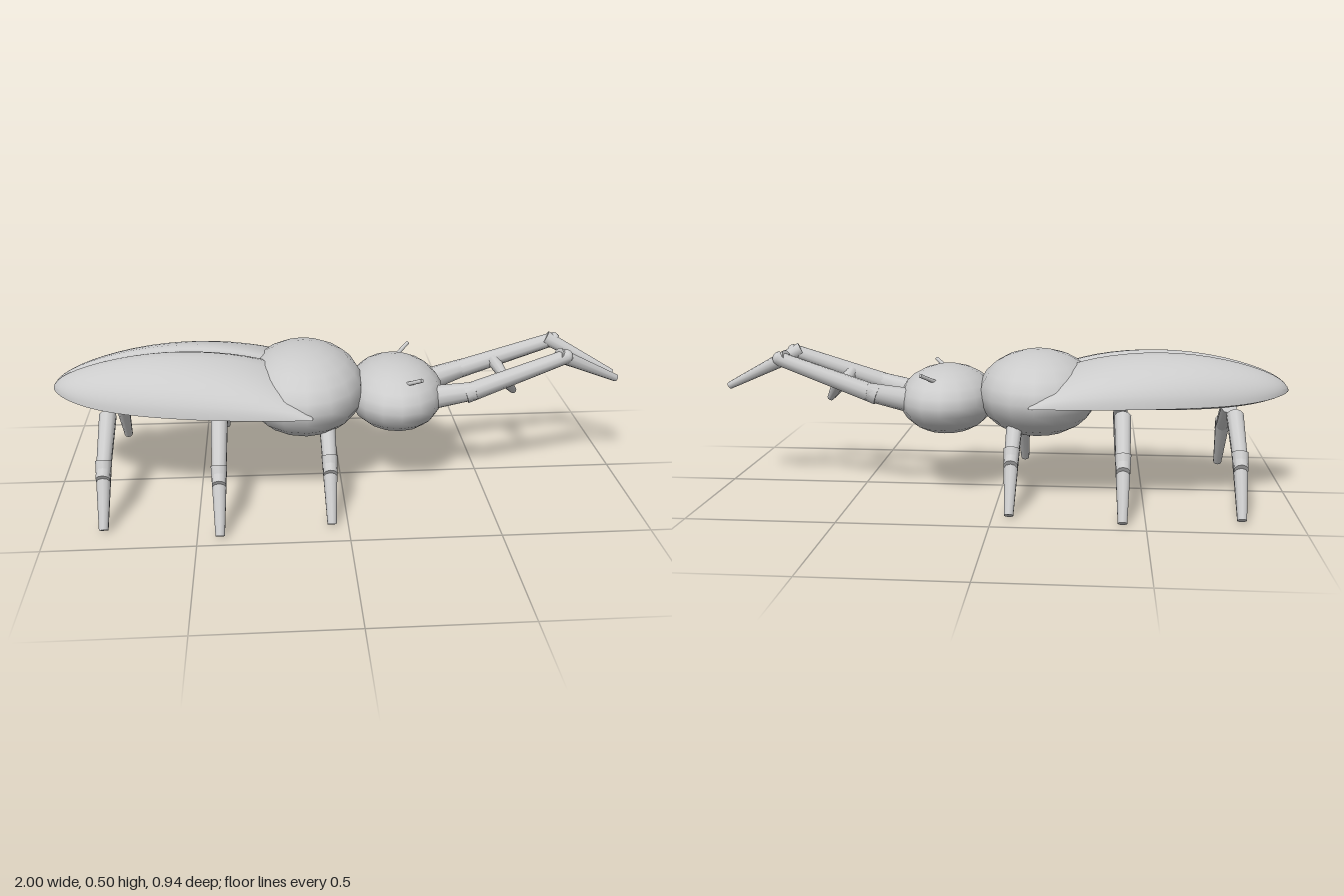
import * as THREE from 'three';
import { toCreasedNormals } from 'three/addons/utils/BufferGeometryUtils.js';

const mat = new THREE.MeshStandardMaterial({ color: 0xcccccc });

function add(parent, name, geometry) {
  const mesh = new THREE.Mesh(geometry, mat);
  mesh.name = name;
  parent.add(mesh);
  return mesh;
}

function ellipsoid(parent, name, center, radii) {
  const mesh = add(parent, name, new THREE.SphereGeometry(1, 16, 12));
  mesh.position.set(...center);
  mesh.scale.set(...radii);
}

// Tapered rod from point a to point b
function rod(parent, name, a, b, ra, rb) {
  const start = new THREE.Vector3(...a);
  const dir = new THREE.Vector3(...b).sub(start);
  const mesh = add(parent, name, new THREE.CylinderGeometry(rb, ra, dir.length(), 10));
  mesh.position.copy(start).addScaledVector(dir, 0.5);
  mesh.quaternion.setFromUnitVectors(new THREE.Vector3(0, 1, 0), dir.normalize());
}

// One domed wing case: half-dome sections that dip into a groove at the midline
function wingCaseGeometry(s) {
  const stations = 24, arc = 10;
  const positions = [], index = [];
  const ring = arc + 5;
  for (let i = 0; i <= stations; i++) {
    const u = -Math.cos((Math.PI * i) / stations);
    const x = -0.555 + 0.445 * u;
    const swell = Math.max(0.03, Math.sqrt(Math.max(0, 1 - u * u)) ** (u < 0 ? 1.2 : 1));
    const width = 0.3 * Math.max(0.03, Math.sqrt(Math.max(0, 1 - ((x + 0.11) / 0.89) ** 2)) ** 1.1);
    const edge = 0.345 + (u < 0 ? 0.025 * u ** 4 : 0);
    const height = (0.504 - 0.345) * swell;
    const put = (z, y) => positions.push(x, y, s * z);
    for (let j = 0; j <= arc; j++) {
      const t = (j / arc) * 1.43;
      put(width * Math.cos(t), edge + height * Math.sin(t));
    }
    put(width * 0.055, edge + height * 0.95);
    put(0, edge + height * 0.83);
    put(0, edge - 0.02 * swell);
    put(width * 0.5, edge - 0.028 * swell);
  }
  for (let i = 0; i < stations; i++) {
    for (let j = 0; j < ring; j++) {
      const k = (j + 1) % ring;
      const a = i * ring + j, b = a + ring, c = (i + 1) * ring + k, d = i * ring + k;
      if (s > 0) index.push(a, b, d, b, c, d);
      else index.push(a, d, b, b, d, c);
    }
  }
  const geometry = new THREE.BufferGeometry();
  geometry.setAttribute('position', new THREE.Float32BufferAttribute(positions, 3));
  geometry.setIndex(index);
  return toCreasedNormals(geometry, 1.0);
}

function makeLeg(x, shift, s) {
  const leg = new THREE.Group();
  const p = (z, y) => [x, y, s * (z + shift)];
  rod(leg, 'thigh', p(0.09, 0.295), p(0.315, 0.16), 0.03, 0.024);
  rod(leg, 'shin', p(0.265, 0.205), p(0.39, 0.011), 0.028, 0.016);
  return leg;
}

function makeMandible(s) {
  const jaw = new THREE.Group();
  const elbow = [0.785, 0.472, s * 0.093];
  rod(jaw, 'mandibleBase', [0.31, 0.325, s * 0.08], [0.47, 0.363, s * 0.118], 0.044, 0.032);
  rod(jaw, 'mandibleShaft', [0.43, 0.35, s * 0.115], elbow, 0.034, 0.025);
  ellipsoid(jaw, 'mandibleElbow', elbow, [0.022, 0.024, 0.024]);
  rod(jaw, 'mandibleTip', [0.755, 0.478, s * 0.092], [0.991, 0.36, s * 0.026], 0.026, 0.013);
  rod(jaw, 'mandibleTooth', [0.565, 0.4, s * 0.1], [0.622, 0.32, s * 0.018], 0.026, 0.012);
  return jaw;
}

export function createModel() {
  const beetle = new THREE.Group();
  beetle.name = 'beetle';

  // Body
  ellipsoid(beetle, 'thorax', [-0.128, 0.352, 0], [0.214, 0.151, 0.287]);
  ellipsoid(beetle, 'head', [0.196, 0.324, 0], [0.171, 0.122, 0.234]);

  for (const s of [1, -1]) {
    const side = s > 0 ? 'right' : 'left';
    add(beetle, `${side}WingCase`, wingCaseGeometry(s));

    // Legs: rear, middle, front
    [['Rear', -0.81, 0], ['Middle', -0.425, 0.066], ['Front', -0.055, 0.011]].forEach(([n, x, shift]) => {
      const leg = makeLeg(x, shift, s);
      leg.name = `${side}${n}Leg`;
      beetle.add(leg);
    });

    const jaw = makeMandible(s);
    jaw.name = `${side}Mandible`;
    beetle.add(jaw);

    // Short antenna
    rod(beetle, `${side}Antenna`, [0.21, 0.4, s * 0.14], [0.265, 0.435, s * 0.194], 0.007, 0.007);
  }
  return beetle;
}
